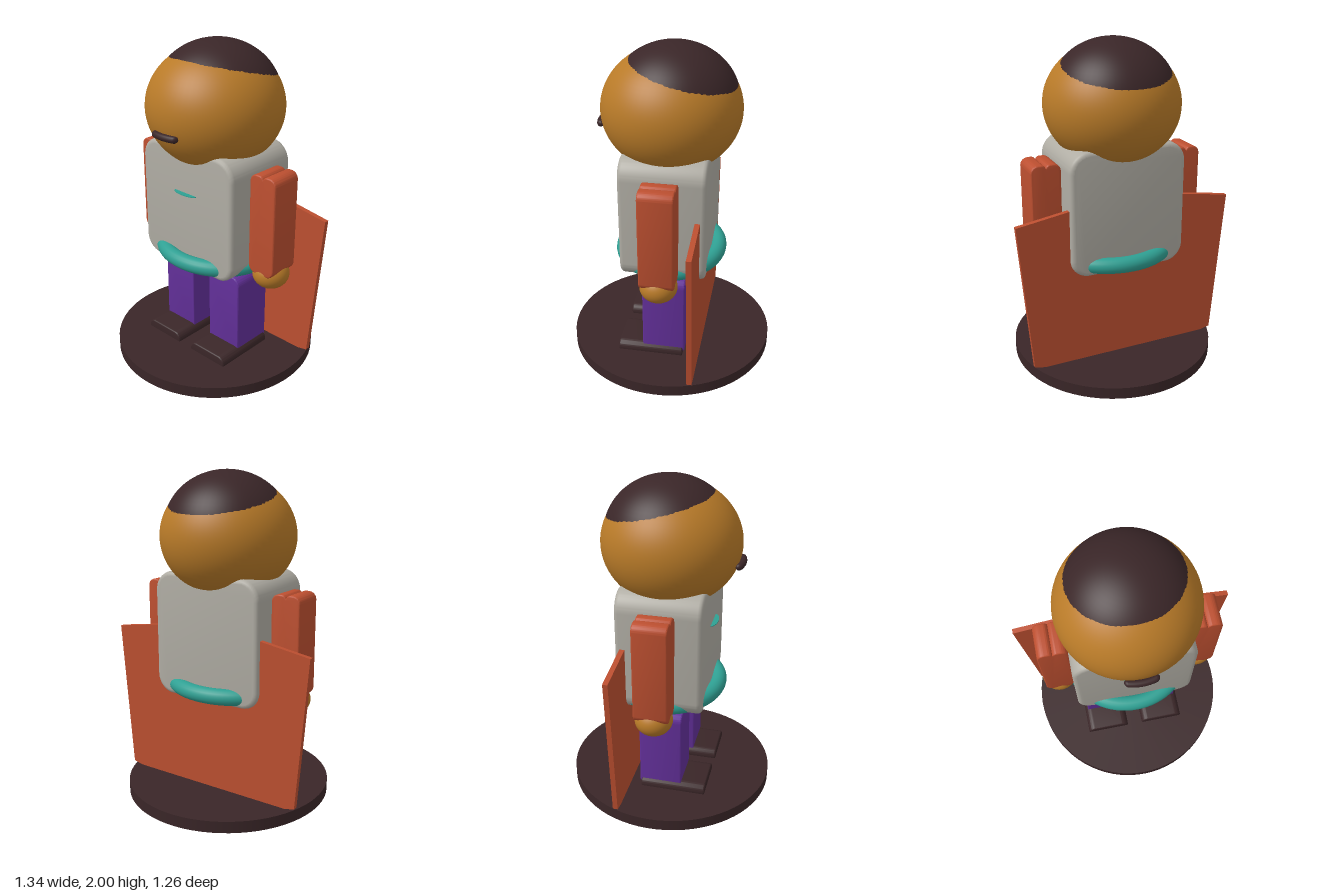
import * as THREE from 'three';
import { toCreasedNormals } from 'three/addons/utils/BufferGeometryUtils.js';

const paint = (name, color) => {
  const m = new THREE.MeshStandardMaterial({ color });
  m.name = name;
  return m;
};

// Outline of a box with separate corner radii at the bottom and top
function roundedOutline(x0, x1, y0, y1, rBottom, rTop, notch = 0) {
  const s = new THREE.Shape();
  const mid = (x0 + x1) / 2;
  s.moveTo(x0 + rBottom, y0);
  s.lineTo(x1 - rBottom, y0);
  s.absarc(x1 - rBottom, y0 + rBottom, rBottom, -Math.PI / 2, 0, false);
  s.lineTo(x1, y1 - rTop);
  s.absarc(x1 - rTop, y1 - rTop, rTop, 0, Math.PI / 2, false);
  if (notch) {
    s.lineTo(mid + 0.025, y1);
    s.quadraticCurveTo(mid + 0.01, y1, mid, y1 - notch);
    s.quadraticCurveTo(mid - 0.01, y1, mid - 0.025, y1);
  }
  s.lineTo(x0 + rTop, y1);
  s.absarc(x0 + rTop, y1 - rTop, rTop, Math.PI / 2, Math.PI, false);
  s.lineTo(x0, y0 + rBottom);
  s.absarc(x0 + rBottom, y0 + rBottom, rBottom, Math.PI, Math.PI * 1.5, false);
  return s;
}

// Extrusion from z0 to z1 with a small rounded edge that keeps the outline size
function slab(shape, z0, z1, bevel) {
  const geo = new THREE.ExtrudeGeometry(shape, {
    depth: z1 - z0 - 2 * bevel, bevelEnabled: bevel > 0, bevelThickness: bevel,
    bevelSize: bevel, bevelOffset: -bevel, bevelSegments: 3, curveSegments: 12,
  });
  geo.translate(0, 0, z0 + bevel);
  return toCreasedNormals(geo, 0.6);
}

export function createModel() {
  const skin = paint('skin', 0xb87a28);
  const dark = paint('dark brown', 0x3a2628);
  const grey = paint('warm grey', 0xb0ada4);
  const orange = paint('rust orange', 0xbc4f30);
  const purple = paint('purple', 0x63309a);
  const teal = paint('teal', 0x2fa093);

  const model = new THREE.Group();
  model.name = 'figurine';
  const add = (name, geo, mat, x = 0, y = 0, z = 0) => {
    const mesh = new THREE.Mesh(geo, mat);
    mesh.name = name;
    mesh.position.set(x, y, z);
    model.add(mesh);
    return mesh;
  };
  const ellipsoid = (rx, ry, rz) => new THREE.SphereGeometry(1, 64, 40).scale(rx, ry, rz);

  // Round stand
  add('base', new THREE.CylinderGeometry(0.62, 0.62, 0.07, 72).scale(1, 1, 1.017), dark, 0, 0.081, 0);

  // Head with a cap of hair set slightly up and back
  add('head', ellipsoid(0.4, 0.36, 0.405), skin, 0, 1.62, 0);
  add('hair', ellipsoid(0.367, 0.33, 0.371), dark, 0, 1.67, -0.015);

  // Mouth bar, bent around the face
  const mouth = new THREE.CapsuleGeometry(0.02, 0.15, 8, 16, 12).rotateZ(Math.PI / 2);
  const p = mouth.attributes.position;
  for (let i = 0; i < p.count; i++) p.setZ(i, p.getZ(i) - 1.8 * p.getX(i) ** 2);
  mouth.computeVertexNormals();
  add('mouth', mouth, dark, 0, 1.528, 0.411);

  // Torso, belt ring and thin chest trim
  add('torso', slab(roundedOutline(-0.357, 0.357, 0.67, 1.42, 0.11, 0.12), -0.25, 0.25, 0.025), grey);
  add('belt', new THREE.TorusGeometry(0.291, 0.048, 20, 72).rotateX(Math.PI / 2).scale(1.14, 1, 1), teal, 0, 0.727, 0);
  add('chestTrim', new THREE.CylinderGeometry(0.085, 0.085, 0.004, 32).scale(1, 1, 0.38), teal, 0, 1.15, 0.25);

  // Arms, hands, legs and shoes, mirrored left and right
  for (const [side, s] of [['left', 1], ['right', -1]]) {
    const outline = (a, b, ...rest) =>
      roundedOutline(Math.min(a * s, b * s), Math.max(a * s, b * s), ...rest);
    add(side + 'Arm', slab(outline(0.355, 0.535, 0.72, 1.33, 0.05, 0.045, 0.018), -0.1, 0.1, 0.008), orange);
    add(side + 'Hand', ellipsoid(0.108, 0.092, 0.11), skin, 0.445 * s, 0.703, 0);
    add(side + 'Leg', slab(outline(0.068, 0.308, 0.13, 0.645, 0.02, 0.055), -0.13, 0.13, 0.008), purple);
    add(side + 'Shoe', slab(outline(0.05, 0.327, 0.105, 0.17, 0.008, 0.045), -0.12, 0.28, 0.008), dark);
  }

  // Flat cape behind the arms, its point passing through the stand
  const cape = new THREE.Shape([
    [0, 0.002], [0.595, 0.13], [0.67, 1.033], [0.35, 1.083],
    [-0.35, 1.083], [-0.67, 1.033], [-0.595, 0.13],
  ].map(([x, y]) => new THREE.Vector2(x, y)));
  add('cape', slab(cape, -0.22, -0.19, 0), orange);

  return model;
}
